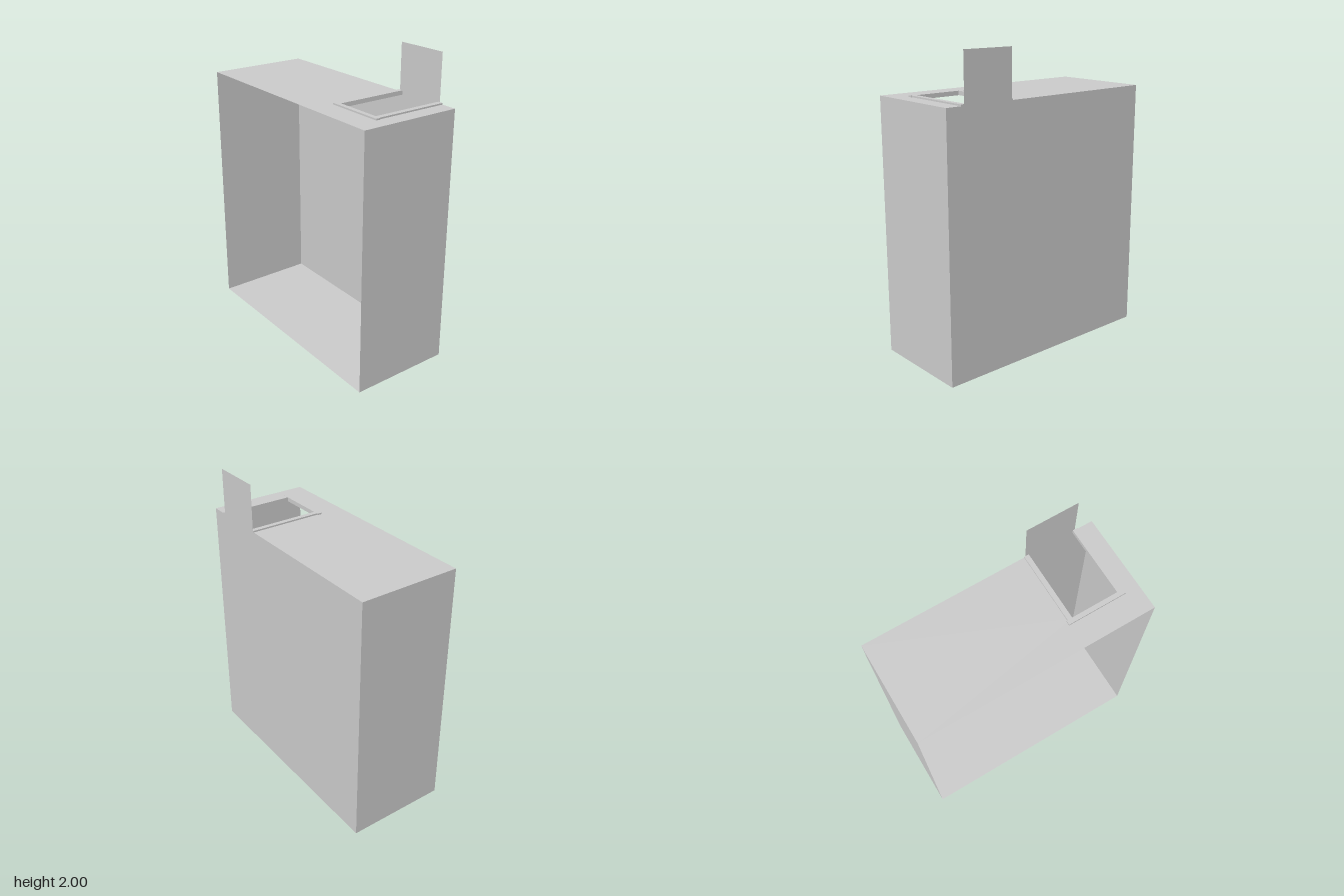
import * as THREE from 'three';

const material = new THREE.MeshStandardMaterial({ color: 0xcccccc, side: THREE.DoubleSide, flatShading: true });

const W = 0.793, H = 1.69, D = 0.338;       // half width, height, half depth
const hole = { x0: 0.34, x1: 0.655, z: 0.145 };
const tab = { x0: 0.317, x1: 0.668, top: 2 };

function add(group, name, geometry, x = 0, y = 0, z = 0) {
  const mesh = new THREE.Mesh(geometry, material);
  mesh.name = name;
  mesh.position.set(x, y, z);
  group.add(mesh);
}

// Flat sheet from an outline of [x, y] corners
function sheet(points) {
  return new THREE.ShapeGeometry(new THREE.Shape(points.map(([x, y]) => new THREE.Vector2(x, y))));
}

// Box given by its limits
function bar(group, name, x0, x1, y0, y1, z0, z1) {
  add(group, name, new THREE.BoxGeometry(x1 - x0, y1 - y0, z1 - z0), (x0 + x1) / 2, (y0 + y1) / 2, (z0 + z1) / 2);
}

export function createModel() {
  const group = new THREE.Group();
  group.name = 'openCabinet';

  // Back panel with the upright tab rising from its top edge
  add(group, 'backPanel', sheet([
    [-W, 0], [W, 0], [W, H], [tab.x1, H], [tab.x1, tab.top], [tab.x0, tab.top], [tab.x0, H], [-W, H],
  ]).rotateY(Math.PI).scale(-1, 1, 1), 0, 0, -D);

  // Side walls and floor; the front stays open
  for (const [name, s] of [['leftWall', 1], ['rightWall', -1]]) {
    add(group, name, new THREE.PlaneGeometry(2 * D, H).rotateY(s * Math.PI / 2), s * W, H / 2, 0);
  }
  add(group, 'floor', new THREE.PlaneGeometry(2 * W, 2 * D).rotateX(Math.PI / 2));

  // Top panel, notched from the back edge by the opening
  add(group, 'topPanel', sheet([
    [-W, D], [-W, -D], [W, -D], [W, D], [hole.x1, D], [hole.x1, -hole.z], [hole.x0, -hole.z], [hole.x0, D],
  ]).rotateX(-Math.PI / 2), 0, H, 0);

  // Raised frame around the opening
  const y0 = 1.672, y1 = 1.7;
  bar(group, 'frameFront', 0.3, 0.695, y0, y1, hole.z, 0.175);
  bar(group, 'frameRight', 0.308, hole.x0, y0, y1, -D, hole.z);
  bar(group, 'frameLeft', hole.x1, 0.69, y0, y1, -D, hole.z);

  return group;
}
